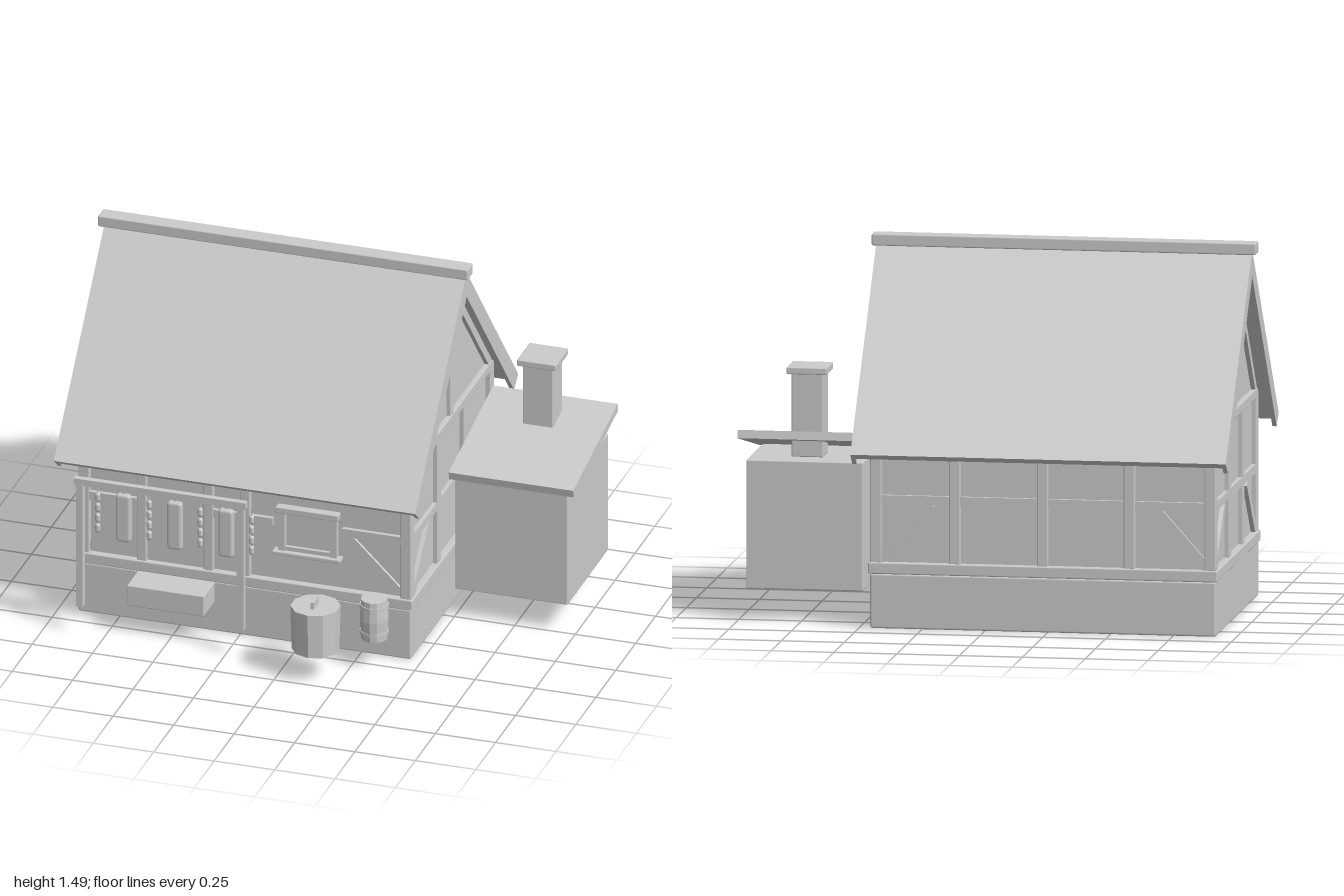
import * as THREE from 'three';
import { RoundedBoxGeometry } from 'three/addons/geometries/RoundedBoxGeometry.js';

const X0 = -0.92, X1 = 0.457, ZC = -0.11, ZF = 0.415, ZB = -0.635;

export function createModel() {
  const model = new THREE.Group();
  const grey = new THREE.MeshStandardMaterial({ color: 0xcccccc });
  grey.name = 'plain grey';
  const facetGrey = grey;

  function group(name, parent = model) {
    const g = new THREE.Group();
    g.name = name;
    parent.add(g);
    return g;
  }
  function add(parent, name, geometry, x = 0, y = 0, z = 0) {
    const m = new THREE.Mesh(geometry, grey);
    m.name = name;
    m.position.set(x, y, z);
    parent.add(m);
    return m;
  }
  // Box given by its limits, with an optional small bevel
  function box(parent, name, x0, x1, y0, y1, z0, z1, bevel = 0) {
    const w = x1 - x0, h = y1 - y0, d = z1 - z0;
    const geo = bevel ? new RoundedBoxGeometry(w, h, d, 1, bevel) : new THREE.BoxGeometry(w, h, d);
    return add(parent, name, geo, (x0 + x1) / 2, (y0 + y1) / 2, (z0 + z1) / 2);
  }
  // Faceted upright cylinder
  function drum(parent, name, r0, r1, h, sides, x, y, z) {
    const geo = new THREE.CylinderGeometry(r0, r1, h, sides).toNonIndexed();
    geo.computeVertexNormals();
    return add(parent, name, geo, x, y, z);
  }
  // Diagonal timber on a front or back wall (x-y plane)
  function braceX(parent, xa, ya, xb, yb, z) {
    const m = add(parent, 'brace', new THREE.BoxGeometry(Math.hypot(xb - xa, yb - ya), 0.036, 0.03),
      (xa + xb) / 2, (ya + yb) / 2, z);
    m.rotation.z = Math.atan2(yb - ya, xb - xa);
  }
  // Diagonal timber on a gable wall (z-y plane)
  function braceZ(parent, za, ya, zb, yb, x) {
    const m = add(parent, 'brace', new THREE.BoxGeometry(0.03, 0.036, Math.hypot(zb - za, yb - ya)),
      x, (ya + yb) / 2, (za + zb) / 2);
    m.rotation.x = -Math.atan2(yb - ya, zb - za);
  }

  // Stone base and plastered walls with gables
  box(model, 'foundation', X0, X1, 0, 0.217, ZB, ZF, 0.008);
  const wall = new THREE.Shape([[-0.505, 0.2], [0.505, 0.2], [0.505, 0.83], [0, 1.414], [-0.505, 0.83]]
    .map(([a, b]) => new THREE.Vector2(a, b)));
  const wallGeo = new THREE.ExtrudeGeometry(wall, { depth: X1 - X0 - 0.04, bevelEnabled: false });
  wallGeo.rotateY(Math.PI / 2);
  add(model, 'walls', wallGeo, X0 + 0.02, 0, ZC);

  // Timber frame
  const frame = group('timberFrame');
  box(frame, 'sill', X0 - 0.007, X1 + 0.007, 0.217, 0.263, ZB - 0.007, ZF + 0.007, 0.006);
  box(frame, 'topPlate', X0, X1, 0.79, 0.83, ZB, ZF, 0.005);
  for (const x of [X0, X1 - 0.046])
    for (const z of [ZB, ZF - 0.05]) box(frame, 'cornerPost', x, x + 0.046, 0.26, 0.8, z, z + 0.05, 0.005);
  for (const x of [0.12, -0.23, -0.575])
    box(frame, 'backPost', x - 0.022, x + 0.022, 0.26, 0.8, ZB, ZB + 0.04, 0.005);
  for (const x of [-0.658, -0.382, -0.23])
    box(frame, 'frontPost', x - 0.02, x + 0.02, 0.26, 0.8, ZF - 0.04, ZF, 0.005);
  box(frame, 'backRail', X0 + 0.03, X1 - 0.03, 0.495, 0.53, ZB + 0.005, ZB + 0.035);
  for (const [a, b] of [[X0 + 0.03, -0.66], [-0.38, -0.117], [0.172, X1 - 0.03]])
    box(frame, 'frontRail', a, b, 0.495, 0.53, ZF - 0.035, ZF - 0.003);
  braceX(frame, -0.875, 0.28, -0.68, 0.49, ZF - 0.023);
  braceX(frame, 0.41, 0.28, 0.185, 0.5, ZF - 0.023);
  braceX(frame, -0.885, 0.27, -0.68, 0.5, ZB + 0.023);
  braceX(frame, 0.42, 0.27, 0.215, 0.5, ZB + 0.023);
  for (const s of [-1, 1]) {
    const x = s > 0 ? X1 - 0.018 : X0 + 0.018;
    for (const z of [0.057, -0.277])
      box(frame, 'sidePost', x - 0.018, x + 0.018, 0.26, 0.8, z - 0.022, z + 0.022, 0.005);
    box(frame, 'sideRail', x - 0.015, x + 0.015, 0.495, 0.53, ZB + 0.03, ZF - 0.03);
    box(frame, 'kingPost', x - 0.016, x + 0.016, 0.83, 1.37, ZC - 0.02, ZC + 0.02, 0.004);
    for (const t of [-1, 1]) {
      braceZ(frame, ZC + t * 0.485, 0.26, ZC + t * 0.27, 0.49, x);
      braceZ(frame, ZC + t * 0.5, 0.81, ZC, 1.39, x);
    }
  }

  // Steep roof with deeper verge boards at both ends
  const roof = group('roof');
  function slope(name, x0, x1, thick) {
    const rise = 0.752, run = 0.648, len = Math.hypot(rise, run);
    const dz = thick * rise / len, dy = thick * run / len;
    const drop = thick * len / run;
    const pts = [[0, 1.46], [run, 0.708], [run - dz, 0.708 - dy], [0, 1.46 - drop],
      [-run + dz, 0.708 - dy], [-run, 0.708]].map(([a, b]) => new THREE.Vector2(a, b));
    const geo = new THREE.ExtrudeGeometry(new THREE.Shape(pts), { depth: x1 - x0, bevelEnabled: false });
    geo.rotateY(Math.PI / 2);
    add(roof, name, geo, x0, 0, ZC);
  }
  slope('roofSlopes', -0.975, 0.51, 0.03);
  slope('vergeBoard', -0.98, -0.963, 0.069);
  slope('vergeBoard', 0.498, 0.515, 0.069);
  box(roof, 'ridgeCap', -1, 0.53, 1.443, 1.49, ZC - 0.035, ZC + 0.035, 0.006);

  // Door, step and window
  box(model, 'door', -0.64, -0.4, 0.26, 0.69, 0.38, 0.4);
  box(model, 'doorLintel', -0.64, -0.4, 0.685, 0.72, 0.375, ZF);
  box(model, 'doorStep', -0.675, -0.355, 0.125, 0.215, 0.4, 0.55, 0.005);
  const win = group('window');
  box(win, 'lintel', -0.1, 0.16, 0.565, 0.592, 0.38, 0.43, 0.004);
  box(win, 'windowSill', -0.112, 0.17, 0.384, 0.401, 0.38, 0.437, 0.004);
  for (const x of [-0.077, 0.137]) box(win, 'jamb', x - 0.014, x + 0.014, 0.4, 0.567, 0.38, 0.422);
  box(win, 'bottomRail', -0.07, 0.13, 0.4, 0.418, 0.38, 0.417);
  box(win, 'pane', -0.07, 0.13, 0.41, 0.57, 0.39, 0.402);

  // Lean-to with a sloping roof and chimney
  const annex = group('leanTo');
  box(annex, 'leanToWalls', 0.505, 0.97, 0.125, 0.637, -0.51, 0.005, 0.005);
  const lid = add(annex, 'leanToRoof', new THREE.BoxGeometry(0.515, 0.033, 0.572), 0.7425, 0.685, -0.257);
  lid.rotation.x = 0.205;
  box(annex, 'chimney', 0.672, 0.798, 0.645, 0.98, -0.455, -0.333, 0.005);
  box(annex, 'chimneyCap', 0.655, 0.816, 0.976, 1.004, -0.474, -0.313, 0.005);

  // Rack hung with meat and sausage strings
  const rack = group('smokingRack');
  for (const x of [-0.85, -0.185]) box(rack, 'rackPost', x - 0.014, x + 0.014, 0.122, 0.66, 0.585, 0.612);
  box(rack, 'rackBar', -0.875, -0.163, 0.655, 0.683, 0.586, 0.611);
  for (const x of [-0.67, -0.458, -0.246]) {
    box(rack, 'hangingMeat', x - 0.032, x + 0.032, 0.432, 0.642, 0.582, 0.615, 0.014);
    box(rack, 'hook', x - 0.004, x + 0.004, 0.635, 0.66, 0.594, 0.602);
  }
  for (const x of [-0.778, -0.565, -0.354, -0.142]) {
    box(rack, 'string', x - 0.002, x + 0.002, 0.46, 0.665, 0.596, 0.6);
    for (let i = 0; i < 4; i++)
      add(rack, 'sausage', new THREE.CapsuleGeometry(0.011, 0.018, 3, 8), x, 0.475 + i * 0.045, 0.598);
  }

  // Chopping block with a blade set in its top
  const block = group('choppingBlock');
  drum(block, 'stump', 0.099, 0.094, 0.188, 10, 0.145, 0.217, 0.667);
  box(block, 'blade', 0.138, 0.15, 0.3, 0.34, 0.638, 0.707);

  // Barrel with hoops and a side tap
  const barrel = group('barrel');
  const staves = new THREE.LatheGeometry([[0, 0.124], [0.053, 0.124], [0.058, 0.21], [0.053, 0.296], [0, 0.296]]
    .map(([r, y]) => new THREE.Vector2(r, y)), 12).toNonIndexed();
  staves.computeVertexNormals();
  add(barrel, 'staves', staves, 0.335, 0, 0.506);
  for (const y of [0.155, 0.268]) drum(barrel, 'hoop', 0.0585, 0.0585, 0.012, 12, 0.335, y, 0.506);
  box(barrel, 'tap', 0.325, 0.345, 0.14, 0.21, 0.425, 0.452, 0.005);

  return model;
}
